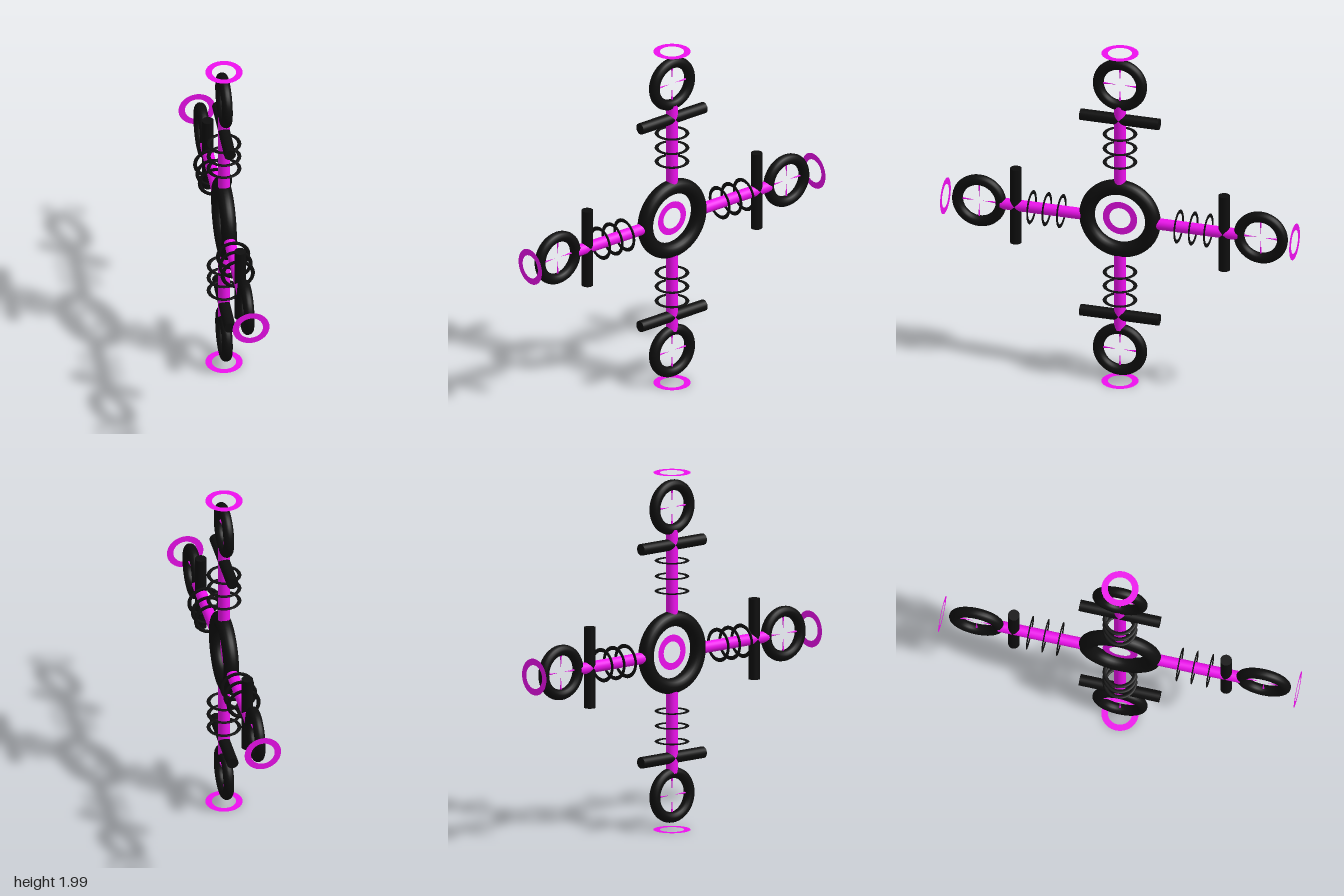
import * as THREE from 'three';

const black = new THREE.MeshStandardMaterial({ color: 0x0e0e0e });
const magenta = new THREE.MeshStandardMaterial({ color: 0xee10ee });
const magentaFlat = new THREE.MeshStandardMaterial({ color: 0xee10ee, side: THREE.DoubleSide });

function add(parent, name, geometry, material, x = 0, y = 0) {
  const mesh = new THREE.Mesh(geometry, material);
  mesh.name = name;
  mesh.position.set(x, y, 0);
  parent.add(mesh);
  return mesh;
}

// One arm, pointing along +y from the hub
function createArm(name) {
  const arm = new THREE.Group();
  arm.name = name;

  add(arm, 'shaft', new THREE.CylinderGeometry(0.032, 0.032, 0.48, 24), magenta, 0, 0.44);
  add(arm, 'crossbar', new THREE.CylinderGeometry(0.032, 0.032, 0.45, 24), black, 0, 0.595)
    .rotation.z = Math.PI / 2;

  // Thin washers around the shaft
  for (const y of [0.335, 0.418, 0.505]) {
    const washer = add(arm, 'washer', new THREE.TorusGeometry(0.084, 0.011, 8, 40), black, 0, y);
    washer.rotation.x = Math.PI / 2;
    washer.scale.z = 0.35;
  }

  // Wheel with four spikes pointing at its middle
  const wheel = new THREE.Group();
  wheel.name = 'wheel';
  wheel.position.y = 0.804;
  add(wheel, 'wheelRim', new THREE.TorusGeometry(0.124, 0.03, 16, 48), black);
  for (let i = 0; i < 4; i++) {
    const a = (i * Math.PI) / 2;
    const spike = add(wheel, 'spike', new THREE.ConeGeometry(0.007, 0.095, 10), magenta,
      -Math.sin(a) * 0.068, Math.cos(a) * 0.068);
    spike.rotation.z = a + Math.PI;
  }
  arm.add(wheel);

  // Flat ring facing outward at the tip
  add(arm, 'tipRing', new THREE.RingGeometry(0.066, 0.102, 48), magentaFlat, 0, 0.997)
    .rotation.x = -Math.PI / 2;
  return arm;
}

export function createModel() {
  const model = new THREE.Group();
  model.name = 'crossOrnament';

  // The whole cross lies in one upright plane turned about y
  const cross = new THREE.Group();
  cross.name = 'cross';
  cross.rotation.y = -Math.PI / 3;
  model.add(cross);

  add(cross, 'hubRing', new THREE.TorusGeometry(0.188, 0.043, 20, 64), black, 0, 0.995);
  add(cross, 'hubInnerRing', new THREE.RingGeometry(0.06, 0.098, 48), magentaFlat, 0, 0.995);

  ['topArm', 'backArm', 'bottomArm', 'frontArm'].forEach((name, i) => {
    const arm = createArm(name);
    arm.rotation.z = (i * Math.PI) / 2;
    arm.position.y = i % 2 ? 0.991 : 1.002;
    cross.add(arm);
  });
  return model;
}
